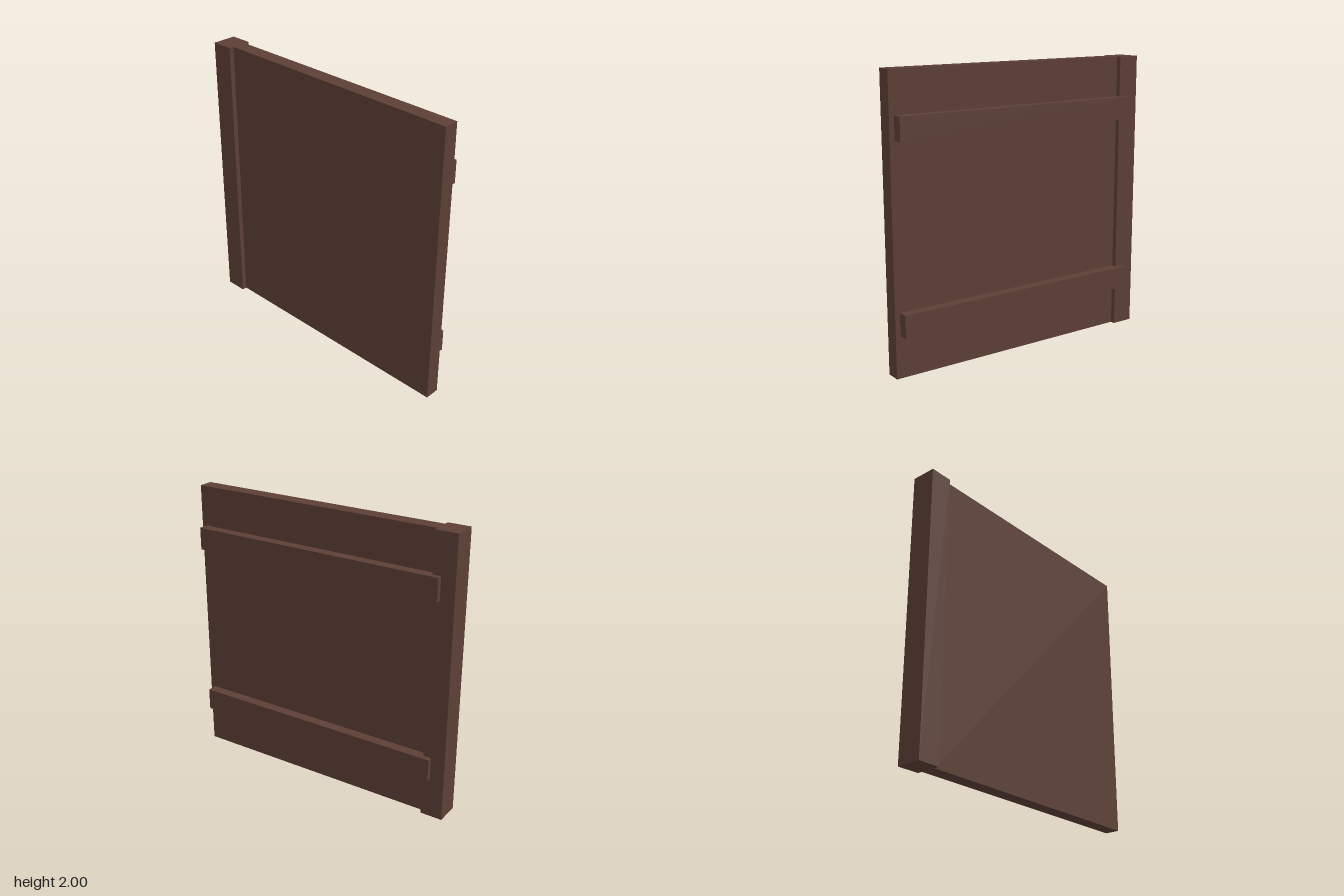
import * as THREE from 'three';

export function createModel() {
  const group = new THREE.Group();
  const wood = new THREE.MeshStandardMaterial({ color: 0x5d4037 });
  wood.name = 'dark brown wood';

  // Box given by its minimum and maximum on each axis
  function board(name, [x0, x1], [y0, y1], [z0, z1]) {
    const mesh = new THREE.Mesh(new THREE.BoxGeometry(x1 - x0, y1 - y0, z1 - z0), wood);
    mesh.position.set((x0 + x1) / 2, (y0 + y1) / 2, (z0 + z1) / 2);
    mesh.name = name;
    group.add(mesh);
  }

  // Upright post along the right edge, thicker than the panel
  board('post', [-1, -0.842], [0, 2], [-0.068, 0.105]);

  // Flat panel
  board('panel', [-0.842, 1], [0, 2], [-0.034, 0.07]);

  // Two battens across the back, overlapping the post
  [['lowerBatten', 0.29], ['upperBatten', 1.558]].forEach(([name, y]) =>
    board(name, [-0.9, 0.965], [y, y + 0.158], [-0.105, -0.034]));

  return group;
}
